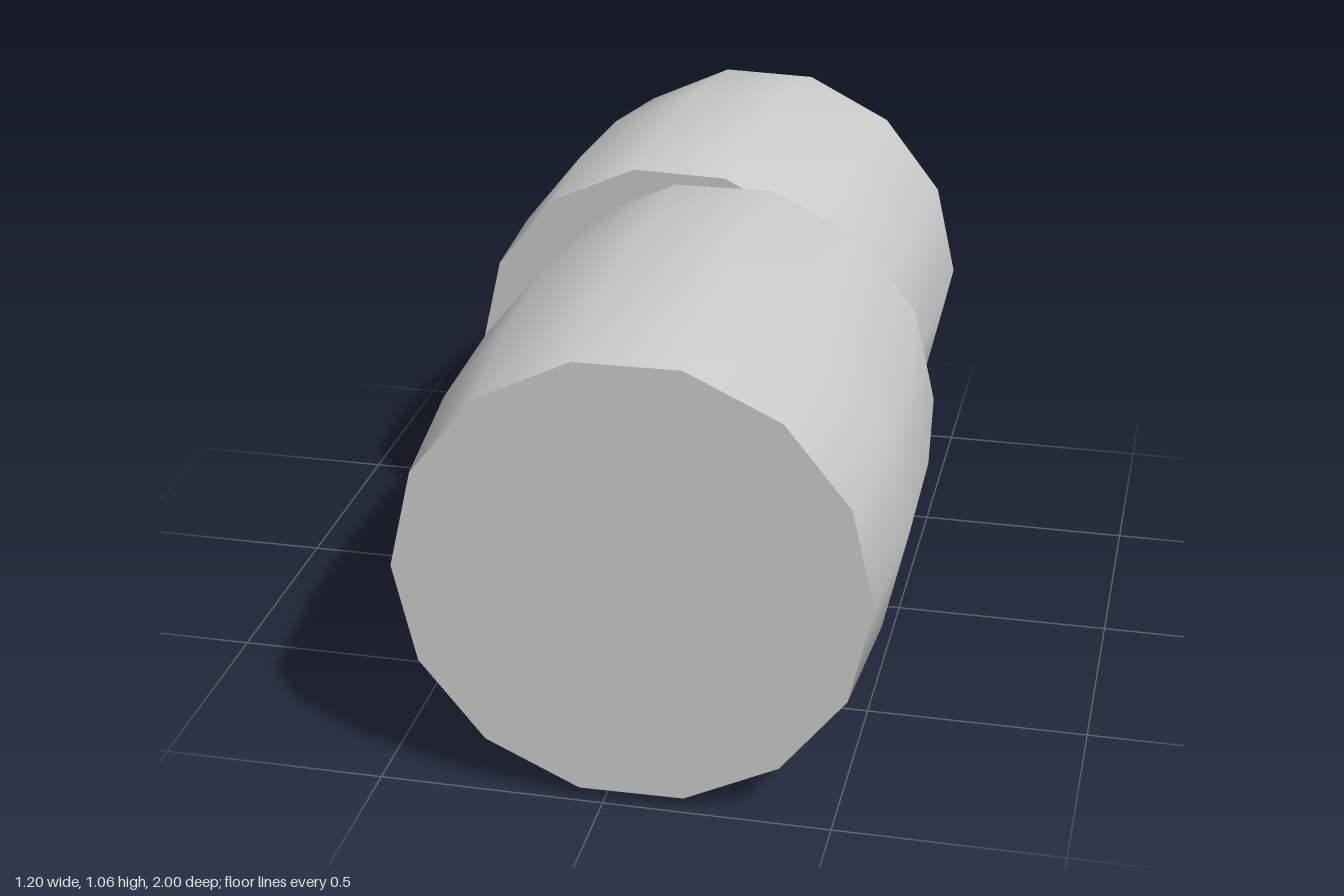
import * as THREE from 'three';
import { toCreasedNormals } from 'three/addons/utils/BufferGeometryUtils.js';

const SIDES = 14;
const END_RADIUS = 0.515;
const BULGE_RADIUS = 0.543;
const AXIS_HEIGHT = BULGE_RADIUS * Math.cos(Math.PI / SIDES); // flat facet rests on the ground

// A closed barrel lying along z, swollen at its two inner rings
function barrelGeometry(length) {
  const geometry = new THREE.CylinderGeometry(
    END_RADIUS, END_RADIUS, length, SIDES, 3, false, Math.PI / 2);
  const position = geometry.attributes.position;
  const swell = BULGE_RADIUS / END_RADIUS;
  for (let i = 0; i < position.count; i++) {
    if (Math.abs(position.getY(i)) < length * 0.4) {
      position.setX(i, position.getX(i) * swell);
      position.setZ(i, position.getZ(i) * swell);
    }
  }
  geometry.rotateX(Math.PI / 2);
  return toCreasedNormals(geometry, 0.7);
}

export function createModel() {
  const model = new THREE.Group();
  model.name = 'barrels';
  const material = new THREE.MeshStandardMaterial({ color: 0xcccccc });

  // Two barrels end to end, each turned slightly off the shared axis
  const barrels = [
    { name: 'frontBarrel', length: 1.063, x: 0.051, z: 0.459, turn: 0.02 },
    { name: 'backBarrel', length: 0.822, x: -0.049, z: -0.552, turn: -0.076 },
  ];
  for (const { name, length, x, z, turn } of barrels) {
    const barrel = new THREE.Mesh(barrelGeometry(length), material);
    barrel.name = name;
    barrel.position.set(x, AXIS_HEIGHT, z);
    barrel.rotation.y = turn;
    model.add(barrel);
  }
  return model;
}
